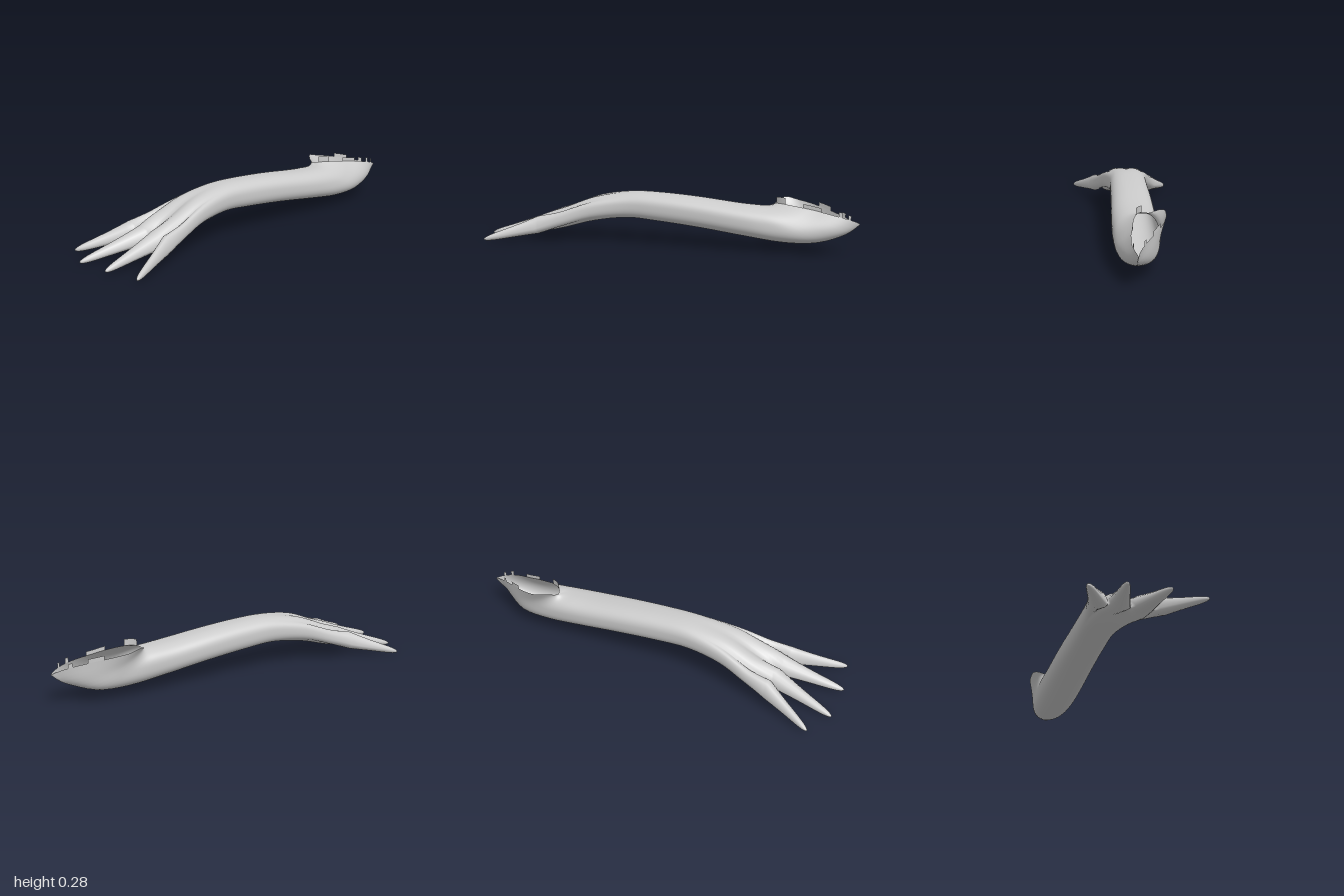
import * as THREE from 'three';
import { mergeVertices } from 'three/addons/utils/BufferGeometryUtils.js';

const N = 64;                                    // points around the arm
const WEBS = [-0.215, -0.12, -0.01, 0.1, 0.175]; // finger borders at the web line
const WEB_Z = 0.68, WEB_TOP = 0.145, WEB_BOTTOM = 0.05;
const WEB_LEVEL = -0.35;                         // webs lie below mid height (-1 bottom, 1 top)
const TIPS = [[-0.273, 0.021, 0.935], [-0.116, 0.016, 1.0], [0.09, 0.026, 0.985], [0.277, 0.027, 0.935]];

// Arm stations, open end to web line: zTop, zBottom, xMin, xMax, yTop, yBottom,
// lobing, side lift, tip skew, lower-half exponent, forward shear of the right wall
const STATIONS = [
  [-0.55, -1.0, -0.237, -0.083, 0.243, 0.17, 0, 0.025, 0.052, 1.9, 0.12],
  [-0.54, -0.93, -0.215, -0.04, 0.238, 0.115, 0, 0.01, 0.025, 1.1, 0.06],
  [-0.51, -0.8, -0.208, -0.003, 0.236, 0.068, 0, 0, 0, 0.8, 0],
  [-0.45, -0.63, -0.205, 0.013, 0.238, 0.058, 0, 0, 0, 0.8, 0],
  [-0.35, -0.42, -0.195, 0.022, 0.245, 0.08, 0, 0, 0, 0.75, 0],
  [-0.15, -0.18, -0.18, 0.028, 0.265, 0.11, 0, 0, 0, 0.65, 0],
  [0.05, 0.05, -0.163, 0.035, 0.278, 0.132, 0, 0, 0, 0.55, 0],
  [0.22, 0.22, -0.155, 0.045, 0.278, 0.142, 0, 0, 0, 0.5, 0],
  [0.4, 0.4, -0.165, 0.085, 0.25, 0.118, 0.1, 0, 0, 0.5, 0],
  [0.55, 0.55, -0.19, 0.13, 0.193, 0.078, 0.35, 0, 0, 0.5, 0],
  [0.62, 0.62, -0.202, 0.153, 0.168, 0.061, 0.62, 0, 0, 0.6, 0],
  [0.68, 0.68, -0.215, 0.175, 0.145, 0.05, 1, 0, 0, 0.8, 0],
];

const lerp = THREE.MathUtils.lerp;
const spow = (v, p) => Math.sign(v) * Math.abs(v) ** p;

// Smooth interpolation between stations
function stationAt(t) {
  const i = Math.min(Math.floor(t), STATIONS.length - 2), f = t - i;
  const row = (k) => STATIONS[THREE.MathUtils.clamp(k, 0, STATIONS.length - 1)];
  return row(i).map((b, c) => {
    const a = row(i - 1)[c], d = row(i + 1)[c], e = row(i + 2)[c];
    return b + 0.5 * f * (d - a + f * (2 * a - 5 * b + 4 * d - e + f * (3 * (b - d) + e - a)));
  });
}

// Outline of four touching lobes: u runs across, v is the height from -1 to 1
function lobePoint(k) {
  const top = k <= N / 2, m = top ? k : N - k;
  const i = Math.min(3, Math.floor(m / 8)), phi = Math.PI * (m - 8 * i) / 8;
  const x = lerp(WEBS[i], WEBS[i + 1], (1 - Math.cos(phi)) / 2);
  return [(x - WEBS[0]) / (WEBS[4] - WEBS[0]), lerp(WEB_LEVEL, top ? 1 : -1, Math.sin(phi))];
}

// One arm ring: rounded section that turns into four finger lobes
function armRing(t) {
  const [zT, zB, xl, xr, yT, yB, lobe, lift, skew, sharp, shear] = stationAt(t);
  return Array.from({ length: N }, (_, k) => {
    const a = 2 * Math.PI * k / N, c = Math.cos(a), s = Math.sin(a);
    const [lu, lv] = lobePoint(k);
    const u = lerp((1 - spow(c, s < 0 ? sharp : 0.8)) / 2, lu, lobe);
    const v = lerp(spow(s, 0.8), lv, lobe);
    return new THREE.Vector3(
      lerp(xl, xr, u) - skew * Math.min(s, 0),
      lerp(yB, yT, (v + 1) / 2) + lift * (c > 0 ? 2 * c : -c),
      lerp(zB, zT, (v + 1) / 2) + shear * Math.max(c, 0) * (1 - Math.max(s, 0)));
  });
}

// One finger ring, s = 0 at the web and 1 at the tip
function fingerRing(i, s) {
  const [tx, ty, tz] = TIPS[i];
  const cap = Math.sqrt(Math.max(0, 1 - s ** 10)), k = s * (1.4 - 0.4 * s);
  const webY = lerp(WEB_BOTTOM, WEB_TOP, (WEB_LEVEL + 1) / 2);
  const w = lerp((WEBS[i + 1] - WEBS[i]) / 2, 0.017, k) * cap;
  const up = lerp(WEB_TOP - webY, 0.016, k) * cap;
  const down = lerp(webY - WEB_BOTTOM, 0.016, k) * cap;
  return Array.from({ length: 16 }, (_, j) => {
    const a = Math.PI * j / 8;
    return new THREE.Vector3(
      lerp((WEBS[i] + WEBS[i + 1]) / 2, tx, s) - w * Math.cos(a),
      lerp(webY, ty, s) + (j <= 8 ? up : down) * Math.sin(a),
      lerp(WEB_Z, tz, s));
  });
}

// Adds the skin over a list of rings
function skin(rings, closed, pos, idx) {
  const base = pos.length / 3, n = rings[0].length;
  rings.forEach((ring) => ring.forEach((p) => pos.push(p.x, p.y, p.z)));
  for (let r = 0; r < rings.length - 1; r++) {
    for (let j = 0; j < (closed ? n : n - 1); j++) {
      const a = base + r * n + j, b = base + r * n + (j + 1) % n;
      idx.push(a, a + n, b, b, a + n, b + n);
    }
  }
}

function makeMesh(name, pos, idx, material) {
  let geo = new THREE.BufferGeometry();
  geo.setAttribute('position', new THREE.Float32BufferAttribute(pos, 3));
  geo.setIndex(idx);
  geo = mergeVertices(geo, 1e-4);
  geo.computeVertexNormals();
  const mesh = new THREE.Mesh(geo, material);
  mesh.name = name;
  return mesh;
}

export function createModel() {
  const group = new THREE.Group();
  group.name = 'arm';
  const material = new THREE.MeshStandardMaterial({ color: 0xcccccc, side: THREE.DoubleSide });

  // Hollow arm and palm, with the fingers growing out of the web line
  const pos = [], idx = [], steps = (STATIONS.length - 1) * 4;
  const rings = Array.from({ length: steps + 1 }, (_, r) => armRing(r / 4));
  skin(rings, true, pos, idx);
  TIPS.forEach((_, i) => {
    const finger = Array.from({ length: 15 }, (_, r) => fingerRing(i, Math.sin(r / 14 * Math.PI / 2)));
    skin(finger, true, pos, idx);
  });
  group.add(makeMesh('armAndHand', pos, idx, material));

  // Ragged tabs standing on the open rim: first point, last point, height
  const tabPos = [], tabIdx = [];
  for (const [from, to, h] of [[20, 25, 0.033], [30, 33, 0.02], [37, 38, 0.025], [40, 41, 0.022], [53, 54, 0.02], [57, 60, 0.02]]) {
    const low = rings[0].slice(from, to + 1);
    const high = low.map((p) => p.clone().add(new THREE.Vector3(0, h, 0)));
    skin([high, low], false, tabPos, tabIdx);
  }
  group.add(makeMesh('rimTabs', tabPos, tabIdx, material));
  return group;
}
